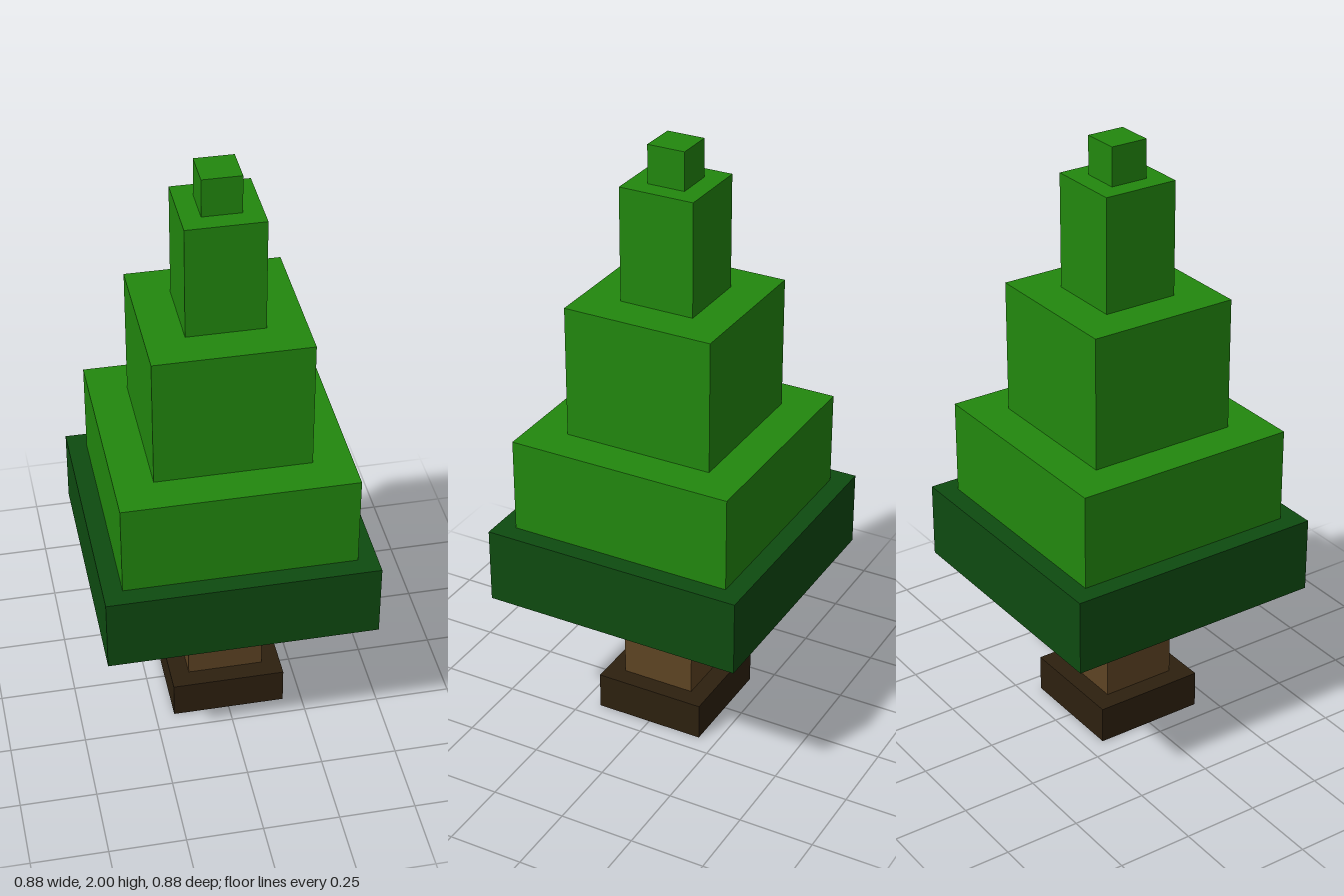
import * as THREE from 'three';

const mat = (name, color) => {
  const m = new THREE.MeshStandardMaterial({ color });
  m.name = name;
  return m;
};

export function createModel() {
  const tree = new THREE.Group();
  tree.name = 'blockTree';
  const leaf = mat('leaf green', 0x22880e);
  const darkLeaf = mat('dark leaf green', 0x0e4b10);
  const bark = mat('bark brown', 0x5e4423);
  const root = mat('dark root brown', 0x2d200f);

  // Stacked square tiers: name, width, bottom, top, material
  const tiers = [
    ['rootBase', 0.375, 0, 0.125, root],
    ['trunk', 0.25, 0.125, 0.5, bark],
    ['lowestFoliage', 0.875, 0.5, 0.75, darkLeaf],
    ['lowerFoliage', 0.75, 0.75, 1.0625, leaf],
    ['middleFoliage', 0.5, 1.0625, 1.5, leaf],
    ['upperFoliage', 0.25, 1.5, 1.875, leaf],
    ['treeTip', 0.125, 1.875, 2, leaf],
  ];
  for (const [name, width, bottom, top, material] of tiers) {
    const mesh = new THREE.Mesh(new THREE.BoxGeometry(width, top - bottom, width), material);
    mesh.name = name;
    mesh.position.y = (bottom + top) / 2;
    tree.add(mesh);
  }

  // Small branches leaning out of the trunk into the foliage:
  // name, facing angle, sideways offset, exit height, width, outward lean, sideways lean
  const branches = [
    ['frontBranch', 0, -0.03, 0.44, 0.12, 0.52, -0.15],
    ['leftBranch', Math.PI / 2, 0.07, 0.4, 0.05, 0.22, -0.45],
    ['backBranch', Math.PI, -0.03, 0.45, 0.08, 0.5, 0.3],
    ['rightBranch', -Math.PI / 2, -0.02, 0.45, 0.08, 0.3, 0.3],
  ];
  for (const [name, facing, side, height, width, lean, roll] of branches) {
    const geometry = new THREE.BoxGeometry(width, 0.22, 0.07);
    geometry.translate(0, 0.06, -0.035);
    const mesh = new THREE.Mesh(geometry, bark);
    mesh.position.set(side, height, 0.125);
    mesh.rotation.set(lean, 0, roll);
    const branch = new THREE.Group();
    branch.name = name;
    branch.rotation.y = facing;
    branch.add(mesh);
    tree.add(branch);
  }
  return tree;
}
